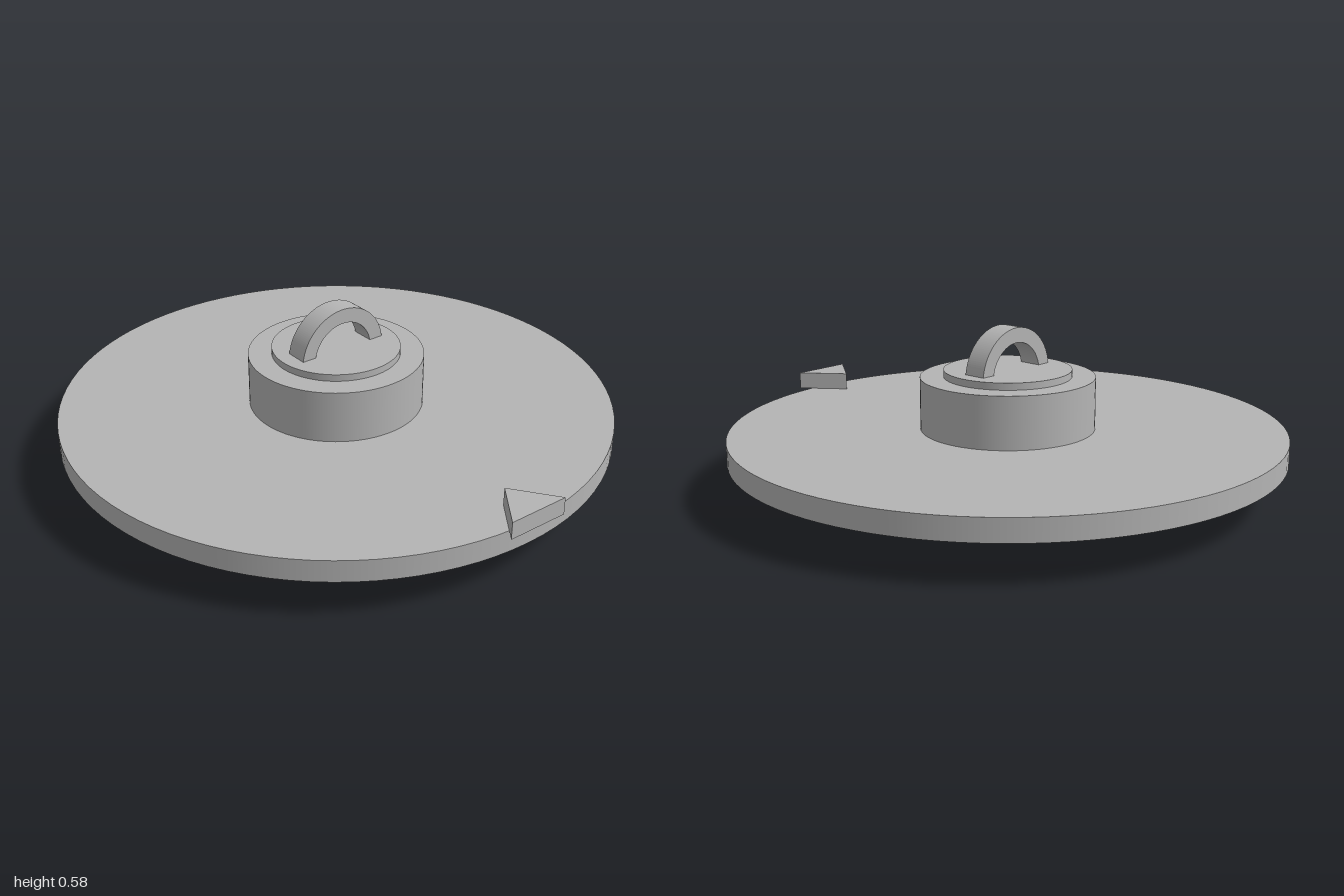
import * as THREE from 'three';

const CENTER_Z = -0.017;

export function createModel() {
  const group = new THREE.Group();
  const grey = new THREE.MeshStandardMaterial({ color: 0xb4b4b4 });
  grey.name = 'plain grey';

  const add = (name, geometry, y, z = CENTER_Z) => {
    const mesh = new THREE.Mesh(geometry, grey);
    mesh.name = name;
    mesh.position.set(0, y, z);
    group.add(mesh);
  };
  // Upright disc spanning two heights
  const disc = (name, radius, bottom, top) =>
    add(name, new THREE.CylinderGeometry(radius, radius, top - bottom, 96), (bottom + top) / 2);

  // Square foot under the dial
  add('squareFoot', new THREE.BoxGeometry(0.62, 0.14, 0.62), 0.07);

  // Stacked round parts
  disc('dialPlate', 0.983, 0.14, 0.218);
  disc('hub', 0.31, 0.218, 0.405);
  disc('hubCap', 0.227, 0.405, 0.43);

  // Arched handle, its ends sunk into the cap
  const arch = new THREE.Shape();
  arch.absarc(0, 0, 0.173, 0, Math.PI, false);
  arch.absarc(0, 0, 0.12, Math.PI, 0, true);
  arch.closePath();
  const archGeometry = new THREE.ExtrudeGeometry(arch, { depth: 0.083, bevelEnabled: false, curveSegments: 40 });
  archGeometry.translate(0, 0, -0.0415);
  add('archHandle', archGeometry, 0.408);

  // Triangular pointer on the front rim, tip toward the hub
  const pointer = new THREE.Shape([
    new THREE.Vector2(-0.112, 1),
    new THREE.Vector2(0, 0.848),
    new THREE.Vector2(0.112, 1),
  ]);
  const pointerGeometry = new THREE.ExtrudeGeometry(pointer, { depth: 0.062, bevelEnabled: false });
  pointerGeometry.rotateX(Math.PI / 2);
  add('pointer', pointerGeometry, 0.28, 0);

  return group;
}
